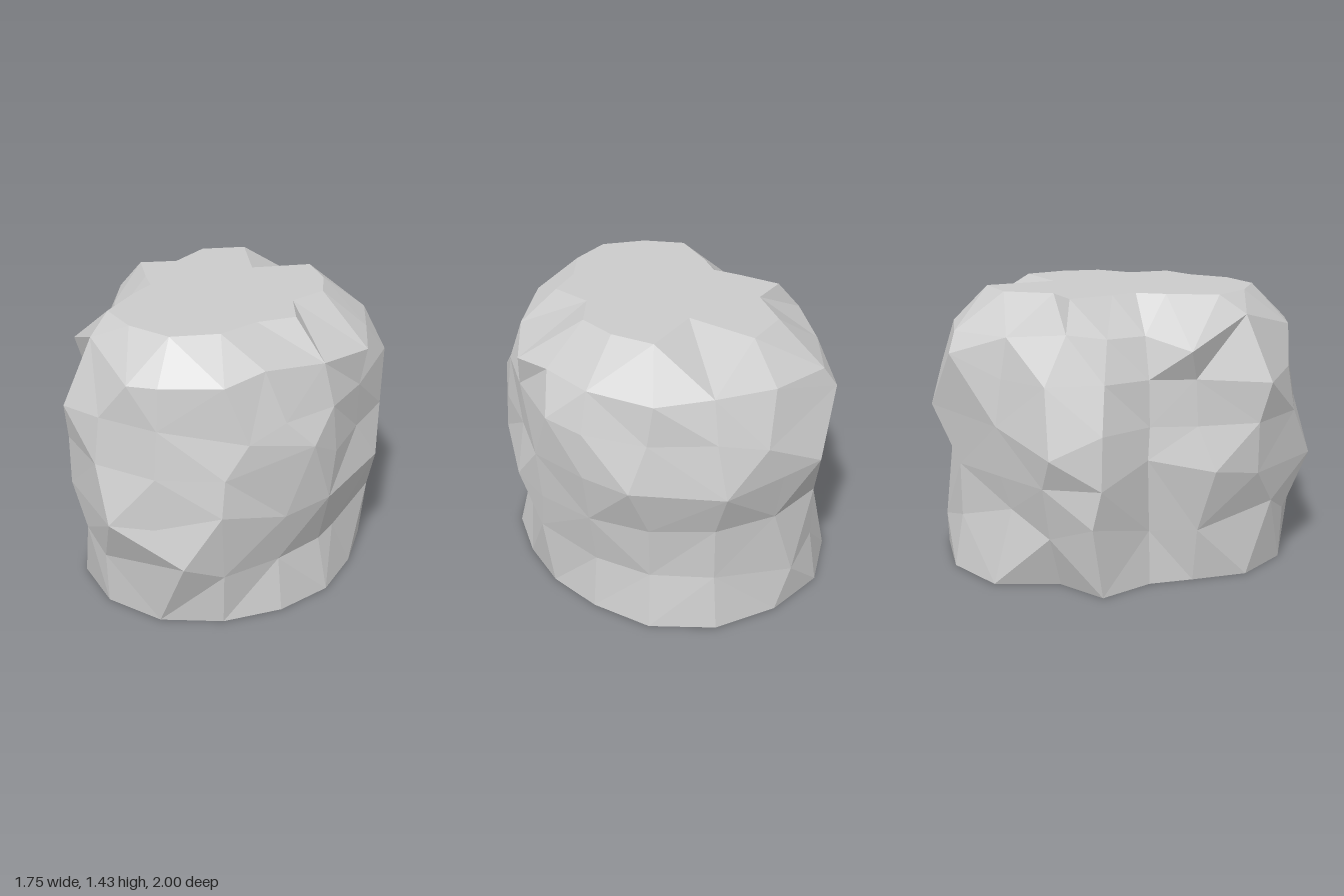
import * as THREE from 'three';

// Cross-sections: height, then radii every 20 degrees from the front (+z) towards +x
const RINGS = [
  [0.0, [.88, .91, .89, .87, .86, .83, .84, .87, .94, .97, .96, .95, .88, .68, .77, .62, .66, .80]],
  [0.28, [.89, .94, .91, .82, .79, .79, .81, .83, .88, .92, .92, .90, .80, .78, .79, .60, .69, .84]],
  [0.56, [.97, .96, .94, .88, .87, .84, .88, .88, .90, .92, .92, .90, .82, .84, .80, .62, .70, .85]],
  [0.82, [.93, .94, .92, .89, .87, .82, .90, .92, .95, .97, .97, .97, .84, .87, .76, .60, .68, .85]],
  [1.05, [.89, .90, .90, .85, .84, .82, .88, .91, .92, .93, .95, .97, .80, .80, .68, .58, .66, .85]],
  [1.25, [.86, .87, .84, .77, .77, .80, .80, .85, .88, .86, .88, .90, .76, .68, .58, .50, .62, .76]],
  [1.43, [.65, .69, .63, .53, .58, .45, .57, .61, .65, .38, .70, .64, .46, .55, .38, .31, .40, .60]],
];
const SIDES = 18;

// Jutting corners that break up the even rings, grouped by side
const CRAGS = {
  front: [[.13, .56, 1], [.48, .38, .88], [.15, 1.24, .86], [-.26, 1.02, .85], [-.2, 1.34, .7],
    [-.46, .6, .62], [-.5, 1.2, .5], [-.15, .37, .85]],
  left: [[.6, .64, .74], [.65, .98, .6], [.63, 1.29, .45], [.84, .92, .33], [.87, .6, .22],
    [.78, .29, 0], [.81, 1.22, -.2], [.86, .61, -.28], [.77, .35, -.39]],
  back: [[.73, 1.08, -.56], [.41, .82, -.89], [-.03, .79, -1], [.28, 1.24, -.85], [-.24, 1, -.94],
    [-.53, .85, -.86], [-.42, .21, -.86]],
  right: [[-.65, 1.15, -.69], [-.67, 1.28, -.07], [-.7, .39, -.36], [-.88, .72, -.09],
    [-.81, .37, .1], [-.55, .66, .3]],
};

function boulderGeometry() {
  const rings = RINGS.map(([y, radii]) => radii.map((r, k) => {
    const a = (k / SIDES) * Math.PI * 2;
    return new THREE.Vector3(Math.sin(a) * r, y, Math.cos(a) * r);
  }));

  // Move the nearest free corner onto each crag; top and base stay level
  const free = rings.slice(1, -1).flat();
  for (const crag of Object.values(CRAGS).flat()) {
    const target = new THREE.Vector3(...crag);
    free.sort((p, q) => p.distanceTo(target) - q.distanceTo(target));
    free.shift().copy(target);
  }

  const out = [];
  const tri = (...corners) => corners.forEach((p) => out.push(p.x, p.y, p.z));

  // Craggy sides, each quad split along its shorter diagonal
  for (let j = 0; j < rings.length - 1; j++) {
    for (let k = 0; k < SIDES; k++) {
      const n = (k + 1) % SIDES;
      const a = rings[j][k], b = rings[j][n], c = rings[j + 1][n], d = rings[j + 1][k];
      if (a.distanceTo(c) < b.distanceTo(d)) {
        tri(a, b, c);
        tri(a, c, d);
      } else {
        tri(a, b, d);
        tri(b, c, d);
      }
    }
  }

  // Flat top and base
  const top = rings[rings.length - 1], base = rings[0];
  const topMid = new THREE.Vector3(0, top[0].y, 0);
  const baseMid = new THREE.Vector3();
  for (let k = 0; k < SIDES; k++) {
    const n = (k + 1) % SIDES;
    tri(topMid, top[k], top[n]);
    tri(baseMid, base[n], base[k]);
  }

  const geometry = new THREE.BufferGeometry();
  geometry.setAttribute('position', new THREE.Float32BufferAttribute(out, 3));
  geometry.computeVertexNormals();
  return geometry;
}

export function createModel() {
  const group = new THREE.Group();
  group.name = 'rock';
  const material = new THREE.MeshStandardMaterial({ color: 0xcccccc, flatShading: true });
  const boulder = new THREE.Mesh(boulderGeometry(), material);
  boulder.name = 'boulder';
  group.add(boulder);
  return group;
}
